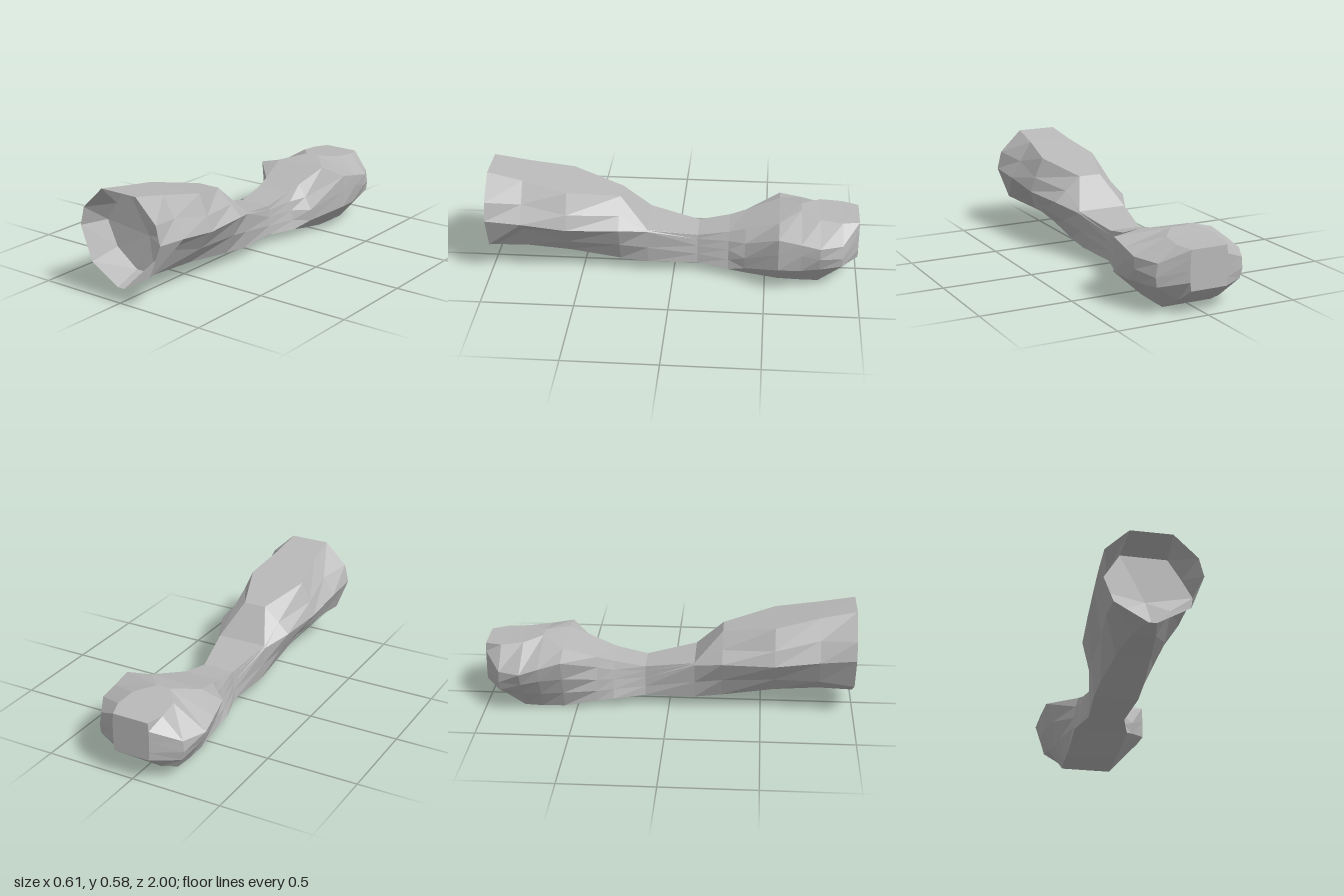
import * as THREE from 'three';

// Cross-sections: z, then half-width and height of the top, upper, side, lower and bottom corners
// on the +x side, then the same for the -x side where it differs
const cupRings = [
  [1.00, [.11, .58, .235, .46, .26, .36, .19, .18, .02, .083]],
  [.81, [.125, .543, .195, .435, .25, .34, .135, .255, .06, .11],
    [.12, .545, .185, .44, .25, .34, .188, .205, .06, .11]],
  [.57, [.16, .495, .21, .385, .237, .305, .165, .20, .09, .108]],
  [.29, [.063, .435, .15, .36, .212, .30, .165, .19, .115, .08]],
  [.14, [.14, .275, .142, .272, .147, .265, .135, .16, .12, .065]],
];
const shaftRings = [
  cupRings[4],
  [-.13, [.088, .225, .09, .20, .093, .16, .097, .11, .10, .058]],
  [-.30, [.10, .258, .115, .21, .125, .16, .137, .105, .15, .053]],
  [-.39, [.115, .29, .16, .222, .20, .155, .195, .09, .147, .035],
    [.115, .285, .13, .23, .14, .16, .145, .095, .147, .037]],
];
const knobRings = [
  shaftRings[3],
  [-.57, [.15, .352, .297, .328, .30, .24, .30, .147, .14, .003],
    [.15, .345, .275, .312, .235, .20, .19, .10, .148, .003]],
  [-.69, [.04, .375, .30, .305, .30, .24, .285, .14, .14, 0],
    [.04, .375, .293, .28, .27, .20, .21, .10, .148, 0]],
  [-.79, [.12, .362, .303, .285, .298, .22, .27, .145, .14, 0],
    [.12, .362, .305, .25, .275, .18, .225, .11, .14, 0]],
  [-.91, [.13, .352, .235, .27, .247, .20, .24, .15, .115, .07],
    [.13, .35, .245, .24, .25, .18, .235, .13, .115, .06]],
  [-1.0, [.10, .345, .105, .30, .105, .24, .105, .18, .10, .135]],
];

// Ten corners of a section, clockwise seen from the front
function section([z, right, left = right]) {
  const shift = z > 0 ? 0.01 * z : 0;
  const a = [], b = [];
  for (let i = 0; i < 10; i += 2) {
    a.push([right[i] + shift, right[i + 1], z]);
    b.unshift([-left[i] + shift, left[i + 1], z]);
  }
  return [...a, ...b];
}

function meshFrom(name, triangles, material) {
  const geometry = new THREE.BufferGeometry();
  geometry.setAttribute('position', new THREE.Float32BufferAttribute(triangles.flat(), 3));
  geometry.computeVertexNormals();
  const mesh = new THREE.Mesh(geometry, material);
  mesh.name = name;
  return mesh;
}

// Skin between consecutive sections
function loft(rings) {
  const out = [];
  const s = rings.map(section);
  for (let i = 0; i < s.length - 1; i++) {
    for (let j = 0; j < 10; j++) {
      const k = (j + 1) % 10;
      out.push(s[i][j], s[i][k], s[i + 1][j], s[i][k], s[i + 1][k], s[i + 1][j]);
    }
  }
  return out;
}

// Fan closing one section
function cap(ring, centre, facesFront) {
  const s = section(ring);
  return s.flatMap((p, j) => {
    const q = s[(j + 1) % 10];
    return facesFront ? [centre, q, p] : [centre, p, q];
  });
}

export function createModel() {
  const grey = new THREE.MeshStandardMaterial({ color: 0xb8b8b8, flatShading: true, side: THREE.DoubleSide });
  grey.name = 'grey';

  const group = new THREE.Group();
  group.name = 'bone';
  group.add(
    meshFrom('hollowEnd', loft(cupRings), grey),
    meshFrom('hollowFloor', cap(cupRings[1], [.02, .30, .79], true), grey),
    meshFrom('shaft', loft(shaftRings), grey),
    meshFrom('knob', loft(knobRings), grey),
    meshFrom('knobEnd', cap(knobRings[5], [0, .24, -1], false), grey),
  );
  return group;
}
